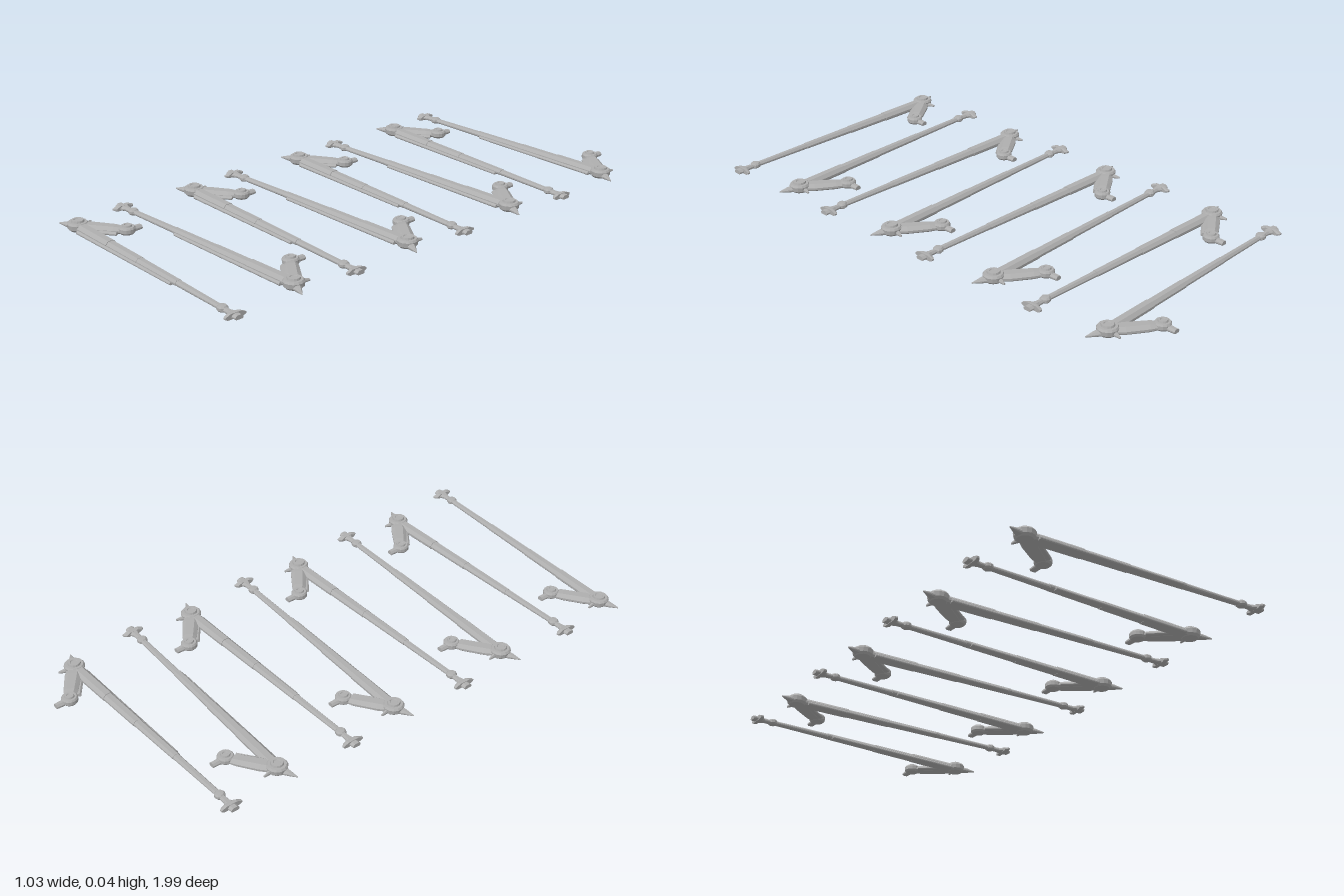
import * as THREE from 'three';

const gray = new THREE.MeshStandardMaterial({ color: 0xaeaeae });
gray.name = 'metal gray';

function add(group, name, geometry) {
  const flat = geometry.index ? geometry.toNonIndexed() : geometry;
  flat.computeVertexNormals();
  const mesh = new THREE.Mesh(flat, gray);
  mesh.name = name;
  group.add(mesh);
  return mesh;
}

// Chamfered beam from a to b ([x, z] points); sections are [t, halfWidth, bottom, top]
function beam(a, b, sections) {
  const start = new THREE.Vector3(a[0], 0, a[1]);
  const along = new THREE.Vector3(b[0] - a[0], 0, b[1] - a[1]);
  const side = new THREE.Vector3(0, 1, 0).cross(along).normalize();
  const outline = [[-0.75, 0], [0.75, 0], [1, 0.25], [1, 0.55], [0.5, 1], [-0.5, 1], [-1, 0.55], [-1, 0.25]];
  const n = outline.length;
  const rings = sections.map(([t, w, lo, hi]) => outline.map(([u, v]) => start.clone()
    .addScaledVector(along, t).addScaledVector(side, u * w).setY(lo + v * (hi - lo))));
  const points = [];
  for (let i = 0; i < rings.length - 1; i++) {
    for (let j = 0; j < n; j++) {
      const k = (j + 1) % n;
      const [p, q, r, s] = [rings[i][j], rings[i][k], rings[i + 1][k], rings[i + 1][j]];
      points.push(p, q, r, p, r, s);
    }
  }
  const first = rings[0], last = rings[rings.length - 1];
  for (let j = 1; j < n - 1; j++) {
    points.push(first[0], first[j + 1], first[j], last[0], last[j], last[j + 1]);
  }
  return new THREE.BufferGeometry().setFromPoints(points);
}

// Round joint turned from a [radius, height] profile
function joint(group, name, x, z, profile, sides = 14) {
  const points = profile.map(([r, y]) => new THREE.Vector2(r, y));
  add(group, name, new THREE.LatheGeometry(points, sides)).position.set(x, 0, z);
}

// One folded leg; s = 1 has its knee at -x, s = -1 is the mirror image
function createLeg(s) {
  const leg = new THREE.Group();
  const P = (x, z) => [s * x, z];
  const bar = (name, a, b, sections) => add(leg, name, beam(P(...a), P(...b), sections));

  // Knee with raised cap and two spikes
  joint(leg, 'knee', -0.437 * s, 0,
    [[0, 0], [0.028, 0], [0.036, 0.008], [0.038, 0.024], [0.033, 0.031], [0.024, 0.031],
      [0.022, 0.038], [0.014, 0.038], [0.012, 0.035], [0, 0.035]]);
  bar('kneeSpike', [-0.45, 0.004], [-0.513, 0.028],
    [[0, 0.02, 0.003, 0.024], [0.5, 0.011, 0.004, 0.02], [1, 0.001, 0.007, 0.011]]);
  bar('kneeFin', [-0.437, -0.02], [-0.446, -0.06],
    [[0, 0.01, 0.005, 0.024], [1, 0.003, 0.009, 0.016]]);

  // Short upper link to the hip, with a side rail
  const hip = [-0.292, -0.107];
  bar('upperLink', [-0.437, 0], hip,
    [[0.1, 0.026, 0.003, 0.027], [0.3, 0.03, 0.002, 0.028], [0.75, 0.026, 0.002, 0.027], [0.92, 0.02, 0.004, 0.024]]);
  bar('upperLinkRail', [-0.375, -0.012], [-0.298, -0.069],
    [[0, 0.01, 0.003, 0.015], [1, 0.01, 0.003, 0.015]]);
  joint(leg, 'hip', hip[0] * s, hip[1],
    [[0, 0.002], [0.024, 0.002], [0.03, 0.009], [0.03, 0.022], [0.026, 0.028], [0.018, 0.028],
      [0.016, 0.034], [0.01, 0.034], [0.008, 0.031], [0, 0.031]]);
  bar('hipStub', [-0.292, -0.12], [-0.292, -0.164],
    [[0, 0.013, 0.004, 0.022], [1, 0.012, 0.005, 0.02]]);

  // Long telescoping shin: each stage is slimmer than the last
  const a = [-0.437, 0], b = [0.425, 0.027];
  bar('shinRoot', a, b, [[0.02, 0.023, 0.002, 0.029], [0.25, 0.022, 0.002, 0.028]]);
  bar('shinUpper', a, b, [[0.25, 0.02, 0.003, 0.026], [0.46, 0.019, 0.003, 0.025]]);
  bar('shinMiddle', a, b, [[0.46, 0.017, 0.004, 0.024], [0.72, 0.015, 0.004, 0.022]]);
  bar('shinLower', a, b, [[0.72, 0.013, 0.004, 0.021], [0.99, 0.011, 0.004, 0.018]]);
  bar('shinRail', [-0.4, 0.021], [0.163, 0.033],
    [[0, 0.011, 0.001, 0.014], [1, 0.008, 0.002, 0.012]]);

  // Ankle and flared foot
  joint(leg, 'ankle', 0.425 * s, 0.027,
    [[0, 0.001], [0.014, 0.001], [0.019, 0.006], [0.019, 0.015], [0.014, 0.021], [0, 0.022]], 10);
  bar('footNeck', [0.435, 0.027], [0.482, 0.028],
    [[0, 0.01, 0.004, 0.017], [0.6, 0.011, 0.003, 0.018], [1, 0.02, 0.002, 0.019]]);
  bar('footPlate', [0.478, 0.028], [0.494, 0.028],
    [[0, 0.032, 0.002, 0.019], [0.4, 0.041, 0.001, 0.02], [1, 0.041, 0.001, 0.02]]);
  bar('footTip', [0.49, 0.028], [0.512, 0.028],
    [[0, 0.017, 0.003, 0.018], [1, 0.016, 0.003, 0.018]]);
  return leg;
}

export function createModel() {
  const model = new THREE.Group();
  model.name = 'foldedLegs';
  for (let i = 0; i < 8; i++) {
    const left = i % 2 === 0;
    const leg = createLeg(left ? -1 : 1);
    leg.name = left ? 'leftLeg' : 'rightLeg';
    leg.position.z = (i - 3.5) * 0.2515 + 0.044;
    model.add(leg);
  }
  return model;
}
